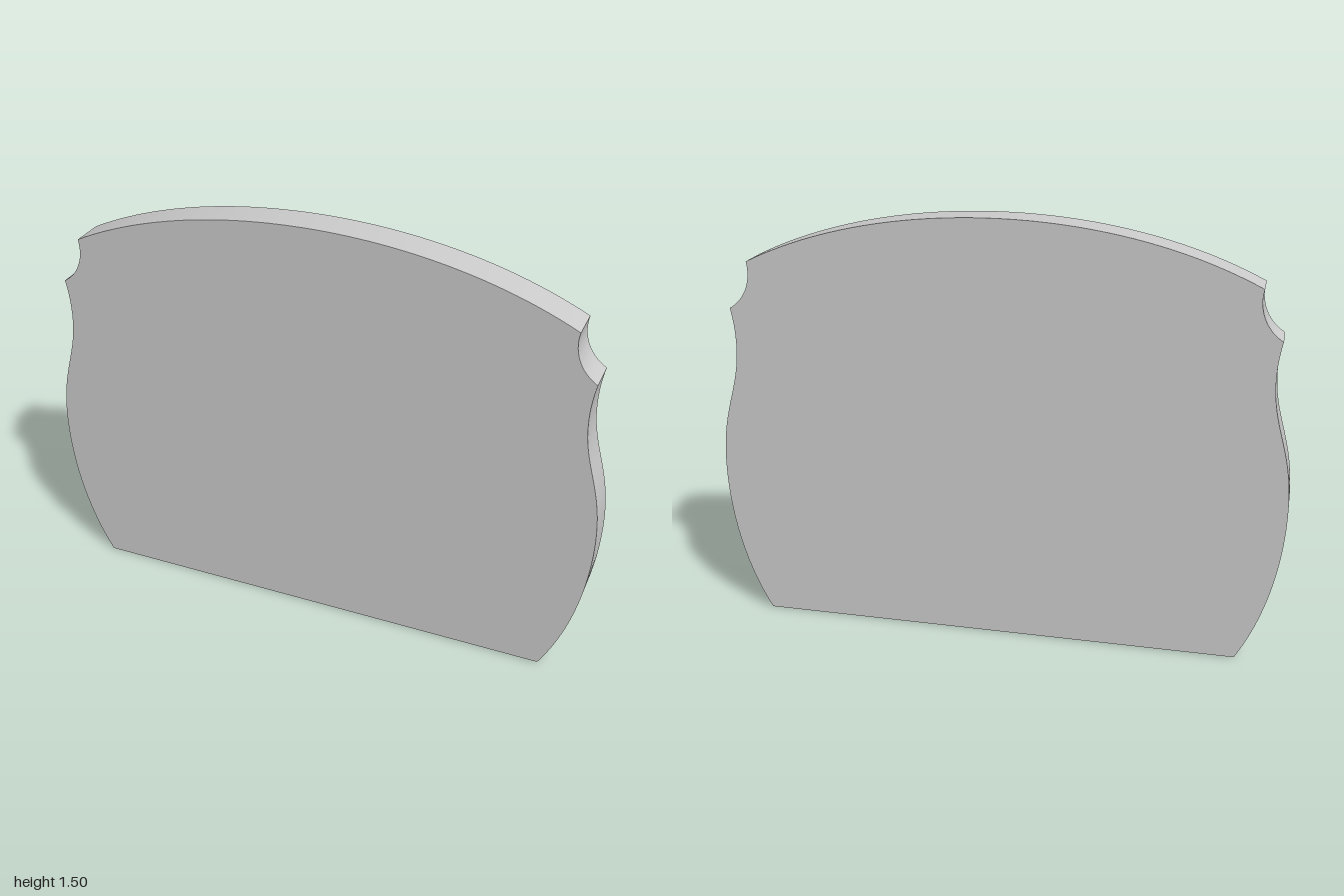
import * as THREE from 'three';
import { toCreasedNormals } from 'three/addons/utils/BufferGeometryUtils.js';

const THICKNESS = 0.122;

// Right half of the outline, from the bottom corner up to the crown
function halfOutline() {
  const half = new THREE.Path();
  half.moveTo(0.853, 0);
  half.bezierCurveTo(0.95, 0.16, 1, 0.37, 1, 0.57);            // belly
  half.bezierCurveTo(1, 0.78, 0.93, 0.85, 0.93, 1.01);         // waist
  half.bezierCurveTo(0.93, 1.06, 0.935, 1.1, 0.945, 1.145);    // flare
  half.bezierCurveTo(0.885, 1.18, 0.86, 1.25, 0.875, 1.313);   // cove notch
  half.bezierCurveTo(0.62, 1.44, 0.31, 1.5, 0, 1.5);           // crown
  return half.getPoints(24);
}

export function createModel() {
  const group = new THREE.Group();
  group.name = 'curvedPanel';

  // Mirror the half outline to close the silhouette
  const right = halfOutline();
  const left = right.slice(0, -1).reverse().map(p => new THREE.Vector2(-p.x, p.y));
  const shape = new THREE.Shape([...right, ...left]);

  const geometry = new THREE.ExtrudeGeometry(shape, { depth: THICKNESS, bevelEnabled: false });
  geometry.translate(0, 0, -THICKNESS / 2);

  const panel = new THREE.Mesh(
    toCreasedNormals(geometry, Math.PI / 7),
    new THREE.MeshStandardMaterial({ color: 0xcccccc })
  );
  panel.name = 'panel';
  group.add(panel);
  return group;
}
